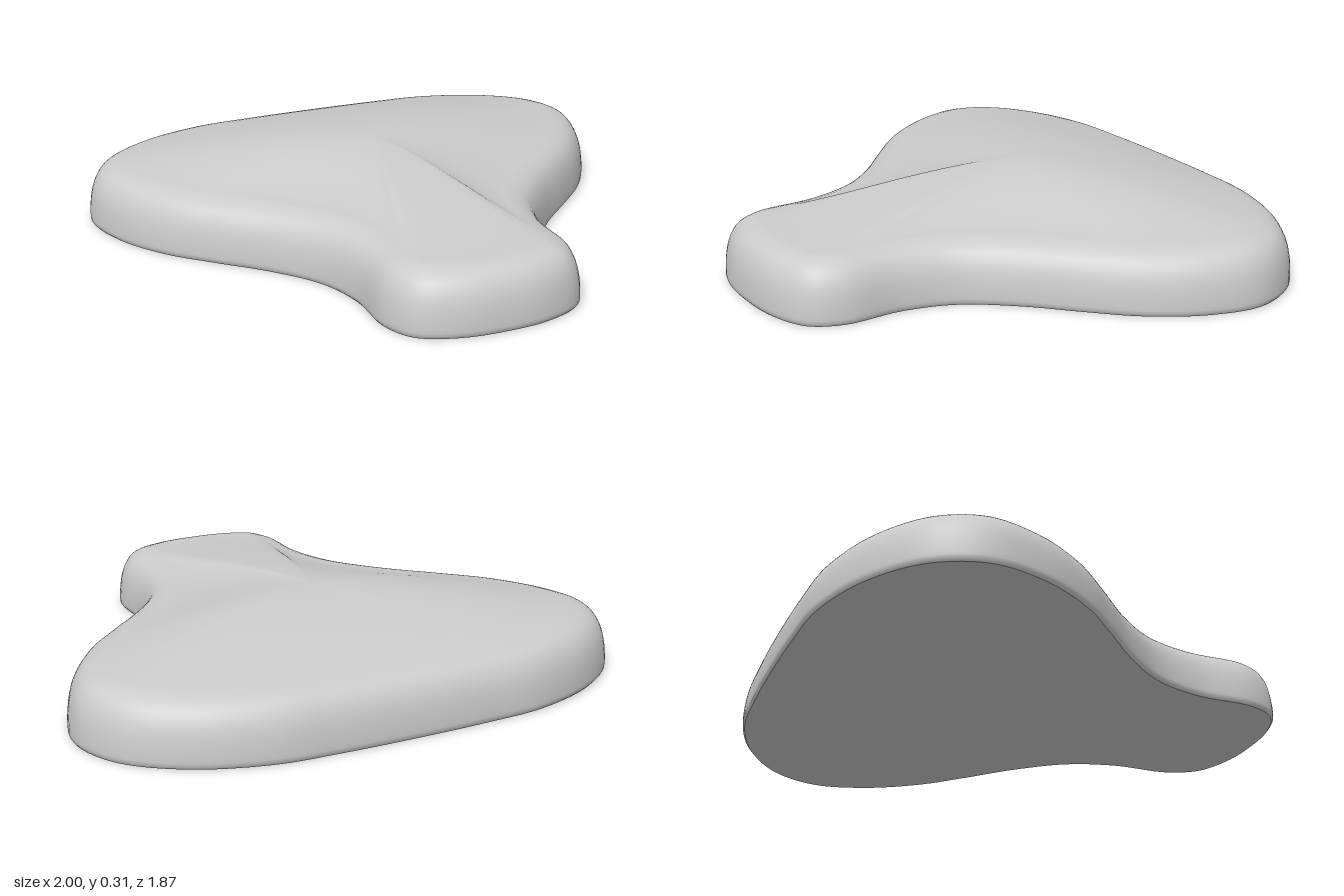
import * as THREE from 'three';

const SEGMENTS = 180;
const RIM_STEPS = 22;
const DOME_STEPS = 24;
const CROWN = { x: 0, y: 0.312, z: -0.2 };

// Half of the plan outline (x, z), from the middle of the back to the nose.
const HALF = [
  [0, -0.935], [0.27, -0.93], [0.5, -0.912], [0.75, -0.825], [0.93, -0.68], [1, -0.5],
  [0.955, -0.3], [0.84, -0.11], [0.7, 0.035], [0.55, 0.18], [0.42, 0.35],
  [0.364, 0.53], [0.355, 0.74], [0.295, 0.855], [0.16, 0.915], [0, 0.93],
];

// Rounded edge section: inset from the outline, height.
const RIM = [
  [0.008, 0], [0, 0.012], [0.002, 0.06], [0.01, 0.11], [0.024, 0.15],
  [0.046, 0.182], [0.076, 0.202], [0.115, 0.215],
];

// Closed outline samples with their outward normals.
function outline() {
  const mirrored = HALF.slice(1, -1).reverse().map(([x, z]) => [-x, z]);
  const curve = new THREE.CatmullRomCurve3(
    [...HALF, ...mirrored].map(([x, z]) => new THREE.Vector3(x, 0, z)), true, 'centripetal');
  return Array.from({ length: SEGMENTS }, (_, i) => {
    const p = curve.getPointAt(i / SEGMENTS);
    const t = curve.getTangentAt(i / SEGMENTS);
    return { x: p.x, z: p.z, nx: t.z, nz: -t.x };
  });
}

// Rounded sides followed by a dome that rises to the crown.
function upperGeometry(points) {
  const positions = [];
  const index = [];
  const rim = new THREE.SplineCurve(RIM.map(([d, y]) => new THREE.Vector2(d, y)))
    .getSpacedPoints(RIM_STEPS);

  for (const { x: d, y } of rim) {
    for (const p of points) positions.push(p.x - p.nx * d, y, p.z - p.nz * d);
  }

  const { x: inset, y: rimY } = rim[RIM_STEPS];
  for (let j = 1; j < DOME_STEPS; j++) {
    const s = 1 - j / DOME_STEPS;
    for (const p of points) {
      const dx = p.x - p.nx * inset - CROWN.x;
      const dz = p.z - p.nz * inset - CROWN.z;
      // The dome is fuller towards the back than towards the nose.
      const power = 1.2 + 0.3 * dz / Math.hypot(dx, dz);
      const rise = Math.cos(s * Math.PI / 2) ** power;
      positions.push(CROWN.x + dx * s, rimY + (CROWN.y - rimY) * rise, CROWN.z + dz * s);
    }
  }

  const rings = RIM_STEPS + DOME_STEPS;
  for (let j = 0; j < rings - 1; j++) {
    for (let i = 0; i < SEGMENTS; i++) {
      const a = j * SEGMENTS + i;
      const b = j * SEGMENTS + (i + 1) % SEGMENTS;
      index.push(a, a + SEGMENTS, b, b, a + SEGMENTS, b + SEGMENTS);
    }
  }

  // Close the dome at the crown.
  const top = positions.length / 3;
  positions.push(CROWN.x, CROWN.y, CROWN.z);
  for (let i = 0; i < SEGMENTS; i++) {
    const last = (rings - 1) * SEGMENTS;
    index.push(last + i, top, last + (i + 1) % SEGMENTS);
  }

  const geometry = new THREE.BufferGeometry();
  geometry.setAttribute('position', new THREE.Float32BufferAttribute(positions, 3));
  geometry.setIndex(index);
  geometry.computeVertexNormals();
  return geometry;
}

// Flat underside that meets the lowest ring of the sides.
function baseGeometry(points) {
  const d = RIM[0][0];
  const shape = new THREE.Shape(
    points.map((p) => new THREE.Vector2(p.x - p.nx * d, p.z - p.nz * d)));
  return new THREE.ShapeGeometry(shape).rotateX(Math.PI / 2);
}

export function createModel() {
  const group = new THREE.Group();
  group.name = 'seatPad';
  const material = new THREE.MeshStandardMaterial({ color: 0xcccccc });
  const points = outline();

  const cushion = new THREE.Mesh(upperGeometry(points), material);
  cushion.name = 'cushion';
  const base = new THREE.Mesh(baseGeometry(points), material);
  base.name = 'base';
  group.add(cushion, base);
  return group;
}
